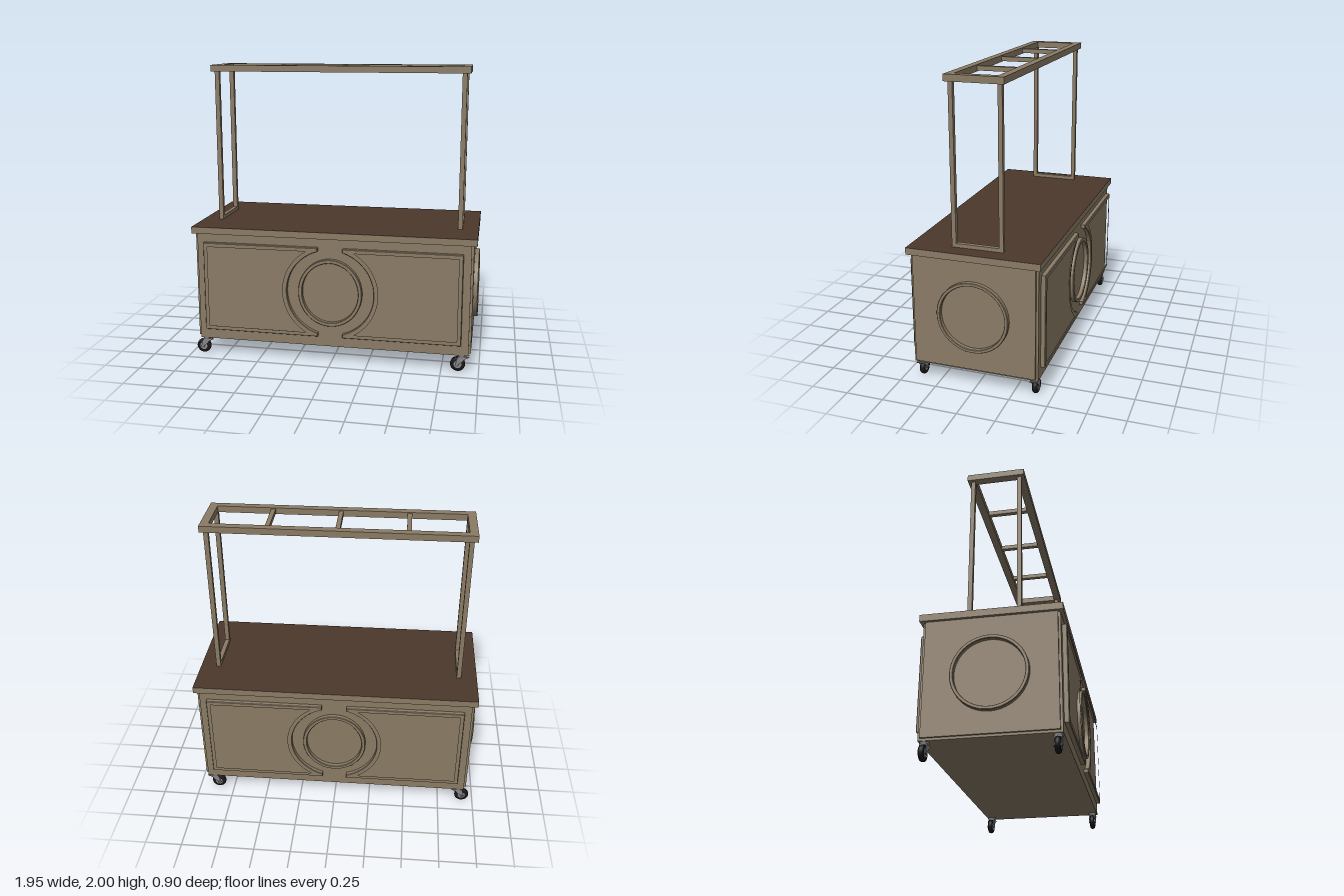
import * as THREE from 'three';

const mat = (name, color) => {
  const m = new THREE.MeshStandardMaterial({ color });
  m.name = name;
  return m;
};

export function createModel() {
  const wood = mat('weathered tan wood', 0x8a7b65);
  const brown = mat('dark brown worktop', 0x4d382c);
  const steel = mat('caster steel', 0x85858a);
  const rubber = mat('black rubber', 0x161616);
  const root = new THREE.Group();
  root.name = 'servingCart';

  const add = (parent, name, geometry, material, x = 0, y = 0, z = 0) => {
    const mesh = new THREE.Mesh(geometry, material);
    mesh.name = name;
    mesh.position.set(x, y, z);
    parent.add(mesh);
    return mesh;
  };
  // Box given by its minimum and maximum along each axis
  const box = (parent, name, [x0, x1], [y0, y1], [z0, z1], material = wood) =>
    add(parent, name, new THREE.BoxGeometry(x1 - x0, y1 - y0, z1 - z0), material,
      (x0 + x1) / 2, (y0 + y1) / 2, (z0 + z1) / 2);

  // Cabinet: long boards and end boards meet in notched corners
  box(root, 'cabinetLongBoards', [-0.93, 0.93], [0.12, 0.88], [-0.42, 0.42]);
  box(root, 'cabinetEndBoards', [-0.945, 0.945], [0.135, 0.88], [-0.405, 0.405]);
  box(root, 'worktop', [-0.965, 0.965], [0.875, 0.92], [-0.44, 0.44],
    [wood, wood, brown, wood, wood, wood]);

  // Raised mouldings, drawn around the middle of a cabinet face
  const extrude = (shape, depth) => new THREE.ExtrudeGeometry(shape, {
    depth: depth - 0.004, bevelEnabled: true, bevelThickness: 0.004, bevelSize: 0.003,
    bevelOffset: -0.003, bevelSegments: 1, curveSegments: 40,
  });
  const ringGeometry = (rx, ry, width, depth) => {
    const shape = new THREE.Shape().absellipse(0, 0, rx, ry, 0, Math.PI * 2, false, 0);
    shape.holes.push(new THREE.Path().absellipse(0, 0, rx - width, ry - width, 0, Math.PI * 2, true, 0));
    return extrude(shape, depth);
  };
  // Rectangle whose inner side is scooped out by a circle of radius r
  const scooped = (path, outerX, halfY, r) => {
    const a = Math.asin(halfY / r);
    path.moveTo(outerX, -halfY);
    path.lineTo(r * Math.cos(a), -halfY);
    path.absarc(0, 0, r, -a, a, false);
    path.lineTo(outerX, halfY);
    path.closePath();
    return path;
  };
  const panelShape = scooped(new THREE.Shape(), 0.88, 0.31, 0.322);
  // The scoop is trimmed flat where the moulding ends
  const frameShape = new THREE.Shape();
  const tip = Math.atan2(0.285, 0.085);
  const scoopR = Math.hypot(0.285, 0.085);
  frameShape.moveTo(0.88, -0.31);
  frameShape.lineTo(0.085, -0.31);
  frameShape.absarc(0, 0, scoopR, -tip, tip, false);
  frameShape.lineTo(0.085, 0.31);
  frameShape.lineTo(0.88, 0.31);
  frameShape.closePath();
  frameShape.holes.push(scooped(new THREE.Path(), 0.855, 0.285, 0.325));
  const panelFrame = extrude(frameShape, 0.03);
  const ovalRing = ringGeometry(0.217, 0.233, 0.025, 0.03);
  const endRing = ringGeometry(0.237, 0.237, 0.022, 0.03);

  for (const side of [1, -1]) {
    const face = new THREE.Group();
    face.name = side > 0 ? 'frontMouldings' : 'backMouldings';
    face.position.set(0, 0.505, side * 0.42);
    face.rotation.y = side > 0 ? 0 : Math.PI;
    root.add(face);
    add(face, 'centreRing', ovalRing, wood);
    add(face, 'leftPanelFrame', panelFrame, wood);
    // Half a turn gives the mirrored frame, since it is symmetric top to bottom
    add(face, 'rightPanelFrame', panelFrame, wood).rotation.z = Math.PI;

    const ring = add(root, side > 0 ? 'leftEndRing' : 'rightEndRing', endRing, wood, side * 0.945, 0.505, 0);
    ring.rotation.y = side * Math.PI / 2;
  }

  // Overhead rack: rectangular frame with three rungs
  const rack = new THREE.Group();
  rack.name = 'overheadRack';
  root.add(rack);
  box(rack, 'frontRail', [-0.88, 0.88], [1.957, 2], [0.138, 0.19]);
  box(rack, 'backRail', [-0.88, 0.88], [1.957, 2], [-0.19, -0.138]);
  for (const x of [-0.45, 0, 0.45]) {
    box(rack, 'rung', [x - 0.015, x + 0.015], [1.963, 1.993], [-0.14, 0.14]);
  }
  for (const s of [1, -1]) {
    const span = (a, b) => (s > 0 ? [a, b] : [-b, -a]);
    box(rack, 'endRail', span(0.825, 0.88), [1.957, 2], [-0.138, 0.138]);
    box(rack, 'footBar', span(0.826, 0.857), [0.92, 0.945], [-0.142, 0.142]);
    box(rack, 'frontPost', span(0.826, 0.857), [0.92, 1.957], [0.142, 0.17]);
    box(rack, 'backPost', span(0.826, 0.857), [0.92, 1.957], [-0.17, -0.142]);
  }

  // Casters, all trailing the same way
  const tyre = new THREE.LatheGeometry([
    [0.026, -0.016], [0.043, -0.016], [0.049, -0.009], [0.05, 0],
    [0.049, 0.009], [0.043, 0.016], [0.026, 0.016],
  ].map(([r, y]) => new THREE.Vector2(r, y)), 28).rotateX(Math.PI / 2);
  const hub = new THREE.CylinderGeometry(0.028, 0.028, 0.028, 20).rotateX(Math.PI / 2);
  const axle = new THREE.CylinderGeometry(0.008, 0.008, 0.054, 10).rotateX(Math.PI / 2);
  const swivel = new THREE.CylinderGeometry(0.03, 0.026, 0.016, 20);
  const cheekShape = new THREE.Shape([
    [-0.042, 0.045], [-0.03, 0.038], [0.02, 0.09], [0.055, 0.108], [-0.022, 0.108], [-0.03, 0.085],
  ].map(([x, y]) => new THREE.Vector2(x, y)));
  const cheek = new THREE.ExtrudeGeometry(cheekShape, { depth: 0.005, bevelEnabled: false });
  cheek.translate(0.035, 0, -0.0025);
  for (const x of [-0.92, 0.86]) {
    for (const z of [-0.388, 0.388]) {
      const caster = new THREE.Group();
      caster.name = 'caster';
      caster.position.set(x, 0, z);
      root.add(caster);
      add(caster, 'tyre', tyre, rubber, 0, 0.05, 0);
      add(caster, 'hub', hub, steel, 0, 0.05, 0);
      add(caster, 'axle', axle, steel, 0, 0.05, 0);
      add(caster, 'swivelPlate', swivel, steel, 0.025, 0.113, 0);
      box(caster, 'forkCrown', [0.0, 0.06], [0.1, 0.108], [-0.024, 0.024], steel);
      for (const s of [-1, 1]) add(caster, 'forkCheek', cheek, steel, -0.01, 0, s * 0.021);
    }
  }
  return root;
}
